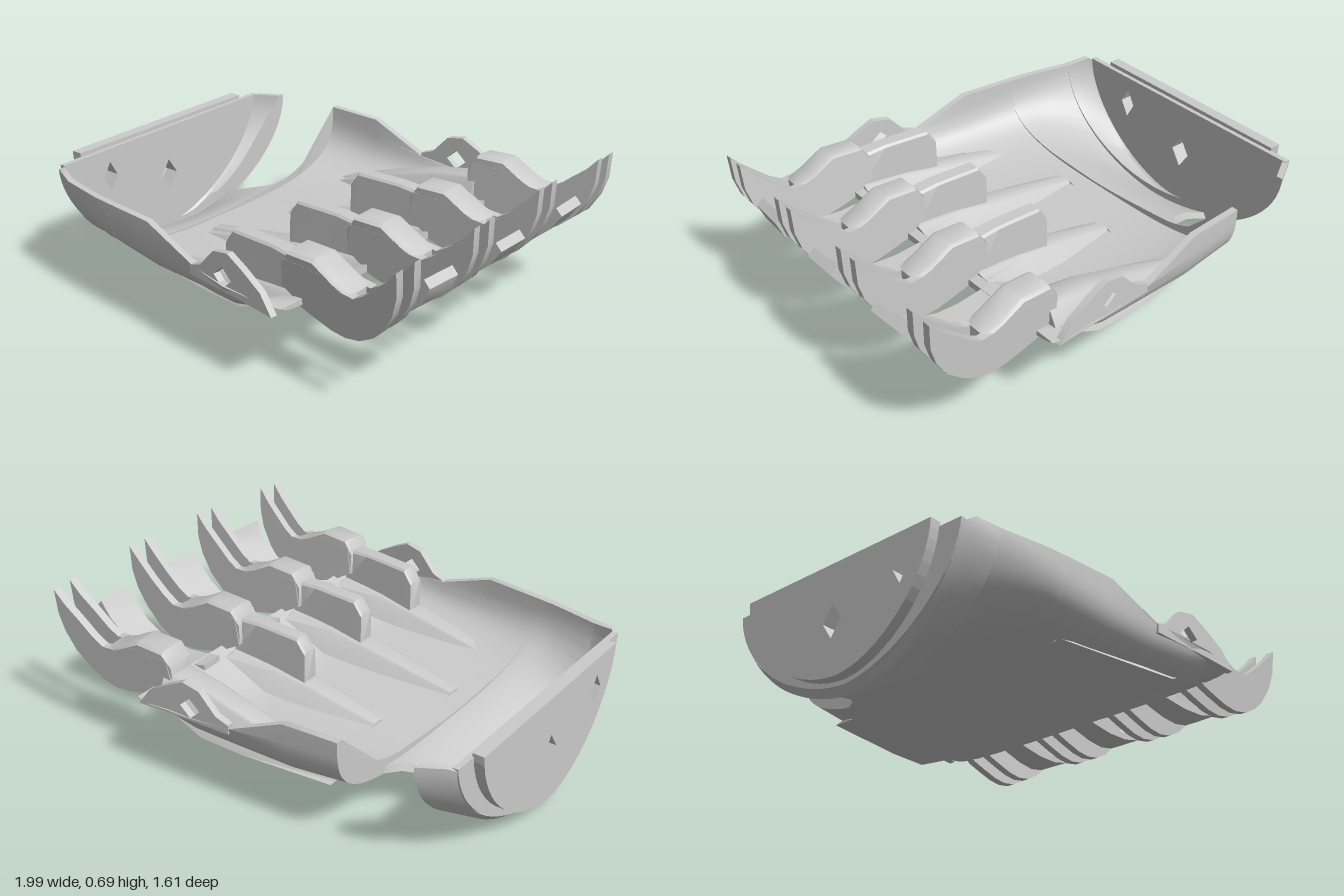
import * as THREE from 'three';
import { toCreasedNormals } from 'three/addons/utils/BufferGeometryUtils.js';

const material = new THREE.MeshStandardMaterial({ color: 0xcccccc, side: THREE.DoubleSide });

function part(name, geometry, parent) {
  const mesh = new THREE.Mesh(geometry, material);
  mesh.name = name;
  parent.add(mesh);
  return mesh;
}

// Skin over closed rings of [x, y, z] points, with optional fan caps
function loft(rings, caps = true, crease = 0.7) {
  const n = rings[0].length, index = [];
  for (let i = 0; i < rings.length - 1; i++) {
    for (let j = 0; j < n; j++) {
      const a = i * n + j, b = i * n + (j + 1) % n;
      index.push(a, a + n, b, b, a + n, b + n);
    }
  }
  if (caps) {
    const last = (rings.length - 1) * n;
    for (let j = 1; j < n - 1; j++) index.push(0, j, j + 1, last, last + j + 1, last + j);
  }
  const g = new THREE.BufferGeometry();
  g.setAttribute('position', new THREE.Float32BufferAttribute(rings.flat(2), 3));
  g.setIndex(index);
  return toCreasedNormals(g, crease);
}

// Point on a rounded U section: angle t runs from the back rim to the front rim
function sectionPoint([x, yb, zF, yF, zB, yB, n], t, inset) {
  const w = (t > 0 ? zF : zB) - inset, rim = t > 0 ? yF : yB, low = yb + inset;
  const s = Math.sin(Math.abs(t)) ** (2 / n), c = Math.max(0, Math.cos(t)) ** (2 / n);
  return [x, rim - (rim - low) * c, Math.sign(t) * w * s];
}

// x, bottom y, front z, front rim y, back z, back rim y, squareness, options
const stations = [
  [-0.95, 0.03, 0.58, 0.5, 0.65, 0.52, 1.7],
  [-0.92, 0.0, 0.62, 0.52, 0.67, 0.53, 1.7],
  [-0.82, 0.06, 0.655, 0.5, 0.73, 0.53, 1.9],
  [-0.82, 0.06, 0.655, 0.5, 0.73, 0.53, 1.9, { cut: 0.33 }],
  [-0.7, 0.14, 0.68, 0.5, 0.75, 0.53, 2.3, { cut: 0.325 }],
  [-0.6, 0.18, 0.7, 0.5, 0.76, 0.53, 2.8, { cut: 0.355 }],
  [-0.55, 0.195, 0.705, 0.5, 0.765, 0.53, 3, { cut: 0.4 }],
  [-0.51, 0.2, 0.71, 0.5, 0.77, 0.53, 3.2, { cut: 0.47 }],
  [-0.51, 0.2, 0.71, 0.5, 0.77, 0.53, 3.2],
  [-0.26, 0.205, 0.735, 0.5, 0.78, 0.52, 4],
  [0.0, 0.215, 0.755, 0.5, 0.79, 0.52, 4.3, { clip: 0.4 }],
  [0.1, 0.217, 0.775, 0.5, 0.795, 0.52, 4.3, { clip: 0.39 }],
  [0.2, 0.22, 0.79, 0.5, 0.8, 0.52, 4.3, { clip: 0.38 }],
  [0.3, 0.25, 0.795, 0.5, 0.805, 0.52, 4.3, { clip: 0.38 }],
  [0.4, 0.31, 0.795, 0.45, 0.805, 0.46, 4, { clip: 0.37 }],
  [0.48, 0.335, 0.775, 0.39, 0.79, 0.4, 4, { clip: 0.37 }],
  [0.48, 0.335, 0.775, 0.39, 0.79, 0.4, 4, { clip: 0.37, thick: 0 }],
];

function shellGeometry() {
  const steps = 40;
  return loft(stations.map((s) => {
    const { cut, clip = 1, thick = 0.03 } = s[7] ?? {};
    const start = cut ? -Math.asin((cut / s[4]) ** (s[6] / 2)) : -Math.PI / 2;
    const outer = [], inner = [];
    for (let i = 0; i <= steps; i++) {
      const t = start + (Math.PI / 2 - start) * i / steps;
      const [a, b] = [0, thick].map((inset) => sectionPoint(s, t, inset));
      outer.push([a[0], Math.min(a[1], clip), a[2]]);
      inner.unshift([b[0], Math.min(b[1], clip), b[2]]);
    }
    return [...outer, ...inner];
  }), false, 0.8);
}

function diamond(x, y, rx, ry) {
  return new THREE.Path([[x - rx, y], [x, y - ry], [x + rx, y], [x, y + ry]].map((p) => new THREE.Vector2(...p)));
}

function shapeOf(points) {
  return new THREE.Shape(points.map((p) => new THREE.Vector2(...p)));
}

// Wall across the wrist with two diamond openings
function endPlate(section, x, depth) {
  const pts = [];
  for (let i = 0; i <= 32; i++) {
    const [, y, z] = sectionPoint(section, -Math.PI / 2 + Math.PI * i / 32, 0);
    pts.push([z, y]);
  }
  const shape = shapeOf(pts);
  shape.holes.push(diamond(-0.04, 0.29, 0.05, 0.075), diamond(0.32, 0.39, 0.04, 0.07));
  const g = new THREE.ExtrudeGeometry(shape, { depth, bevelEnabled: false });
  return g.rotateY(-Math.PI / 2).translate(x, 0, 0);
}

// Side plate drawn in x-y and centred on z
function plate(points, thickness, hole) {
  const shape = shapeOf(points);
  if (hole) shape.holes.push(hole);
  const g = new THREE.ExtrudeGeometry(shape, { depth: thickness, bevelEnabled: false });
  return toCreasedNormals(g.translate(0, 0, -thickness / 2), 0.5);
}

// Bar with a flat top: rows of x, top y, half width at top, half width at base, base y
function bar(rows) {
  return loft(rows.map(([x, top, w, b, low]) => [
    [x, low, -b], [x, top - 0.01, -w], [x, top, -w * 0.75], [x, top, w * 0.75], [x, top - 0.01, w], [x, low, b],
  ])).translate(-0.4, 0, 0);
}

const prongProfile = [
  [0.38, 0.4], [0.44, 0.365], [0.48, 0.335], [0.55, 0.315], [0.63, 0.295], [0.7, 0.29], [0.77, 0.305],
  [0.84, 0.345], [0.91, 0.42], [0.96, 0.5], [0.985, 0.58], [0.99, 0.69], [0.94, 0.635], [0.87, 0.565],
  [0.8, 0.505], [0.75, 0.475], [0.68, 0.48], [0.6, 0.52], [0.4, 0.52],
];

// Forked finger base: arched knuckle, two curved prongs, a tunnel and a sloping hump behind
function addFinger(group, { z, turn, roll, drop, tip, humpTop, humpStart, tunnelX }) {
  const finger = new THREE.Group();
  finger.name = 'finger';
  finger.position.set(0.4, 0.4, z);
  finger.rotation.set(roll, -turn, 0);
  group.add(finger);

  part('knuckle', bar([
    [0.38, 0.5, 0.06, 0.06, 0.4], [0.42, 0.555, 0.064, 0.064, 0.4], [0.55, 0.56, 0.064, 0.064, 0.39],
    [0.65, 0.505, 0.064, 0.064, 0.38], [0.73, 0.475, 0.06, 0.06, 0.4],
  ]).translate(0, -0.4, 0), finger);
  const profile = prongProfile.map(([x, y]) => (x > 0.9 ? [x - tip, y - drop] : [x, y]));
  for (const side of [-1, 1]) {
    part('prong', plate(profile, 0.035).translate(-0.4, -0.4, side * 0.047), finger);
  }

  const base = new THREE.Group();
  base.name = 'fingerBase';
  base.position.set(0.4, 0, z);
  base.rotation.y = -turn;
  group.add(base);
  part('hump', bar([
    [humpStart, 0.245, 0.03, 0.06, 0.235], [0, 0.24 + humpTop * 0.6, 0.05, 0.1, 0.24],
    [0.2, 0.24 + humpTop * 0.85, 0.055, 0.11, 0.25], [0.42, 0.24 + humpTop, 0.06, 0.11, 0.35],
  ]), base);
  if (tunnelX !== undefined) {
    part('tunnel', bar([
      [tunnelX, 0.46, 0.035, 0.04, 0.26], [tunnelX + 0.04, 0.515, 0.036, 0.04, 0.26],
      [0.3, 0.52, 0.037, 0.04, 0.3], [0.42, 0.51, 0.04, 0.045, 0.36],
    ]), base);
  }
}

// Curved scoop between two fingers: x, y, half width
function addScoop(group, z, turn, tip) {
  const rings = [
    [0.42, 0.375, 0.05], [0.5, 0.36, 0.055], [0.6, 0.345, 0.062], [0.7, 0.345, 0.07], [0.78, 0.365, 0.075],
    [0.86, 0.405, 0.079], [0.93, 0.465, 0.081], [0.98 - tip, 0.535, 0.082],
  ].map(([x, y, w], i) => {
    const t = 0.03, back = 0.004 * i;
    return [[x - 0.4, y - t, -w], [x - 0.4 - back, y, -w], [x - 0.4 - back, y, w], [x - 0.4, y - t, w]];
  });
  const scoop = part('scoop', loft(rings), group);
  scoop.position.set(0.4, 0, z);
  scoop.rotation.y = -turn;
}

export function createModel() {
  const group = new THREE.Group();
  group.name = 'palmShell';

  part('palm', shellGeometry(), group);

  // Wrist wall and its raised outer plate
  part('wristWall', endPlate([0, 0.03, 0.58, 0.52, 0.65, 0.53, 1.7], -0.93, 0.025), group);
  part('wristPlate', endPlate([0, 0.05, 0.47, 0.54, 0.55, 0.545, 1.8], -0.95, 0.05), group);

  // Raised side tabs with diamond openings
  const tab = [[0, 0.36], [0.3, 0.35], [0.46, 0.34], [0.4, 0.42], [0.3, 0.48], [0.22, 0.52], [0.14, 0.505], [0.06, 0.42], [0, 0.4]];
  for (const side of [-1, 1]) {
    const mesh = part('sideTab', plate(tab, 0.03, diamond(0.19, 0.41, 0.05, 0.045)), group);
    mesh.position.set(0, side < 0 ? 0.015 : 0, side < 0 ? -0.775 : 0.745);
    mesh.rotation.y = side < 0 ? 0.03 : -0.1;
  }

  const fingers = [
    { z: -0.63, turn: -0.03, roll: -0.05, drop: 0.015, tip: 0, humpTop: 0.22, humpStart: -0.4 },
    { z: -0.21, turn: 0, roll: 0, drop: 0, tip: 0, humpTop: 0.12, humpStart: -0.3, tunnelX: 0.05 },
    { z: 0.2, turn: 0.03, roll: 0.05, drop: 0.01, tip: 0, humpTop: 0.13, humpStart: -0.42, tunnelX: 0.05 },
    { z: 0.59, turn: 0.08, roll: 0.1, drop: 0.03, tip: 0.025, humpTop: 0.13, humpStart: -0.4, tunnelX: 0.04 },
  ];
  fingers.forEach((f) => addFinger(group, f));

  const scoops = [[-0.405, -0.04, 0], [0, 0.01, 0], [0.4, 0.06, 0.02]];
  scoops.forEach((s) => addScoop(group, ...s));

  return group;
}
